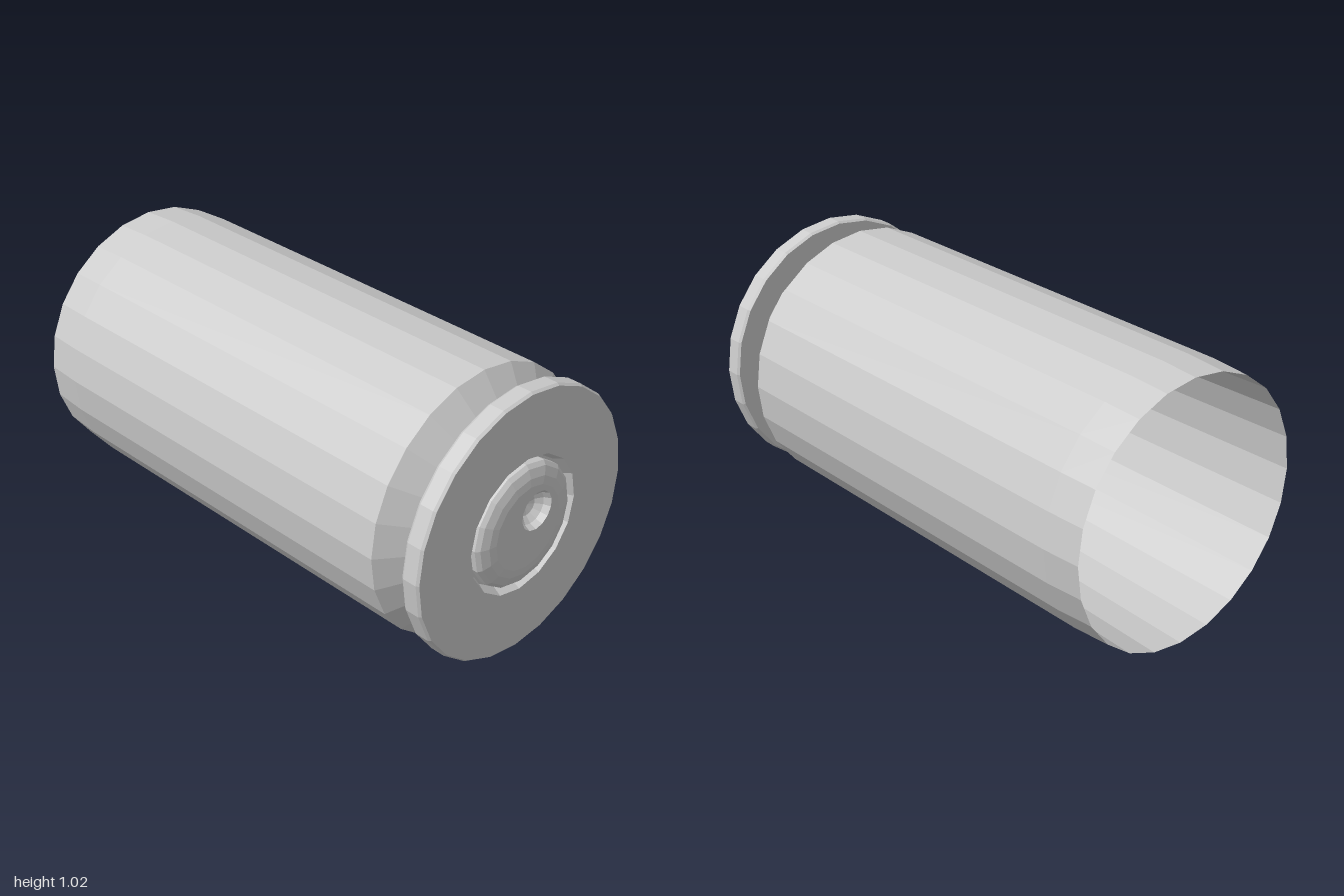
import * as THREE from 'three';

const CENTRE_Y = 0.515;
const SIDES = 24, PRIMER_SIDES = 16;

export function createModel() {
  const model = new THREE.Group();
  const material = new THREE.MeshStandardMaterial({ color: 0xcccccc, flatShading: true, side: THREE.DoubleSide });

  function add(name, geometry, x = 0, y = CENTRE_Y, z = 0) {
    const mesh = new THREE.Mesh(geometry, material);
    mesh.name = name;
    mesh.position.set(x, y, z);
    model.add(mesh);
  }

  // Profile of [radius, z] pairs turned about the z axis
  function turned(profile, sides) {
    const points = profile.map(([r, z]) => new THREE.Vector2(r, z));
    return new THREE.LatheGeometry(points, sides).rotateX(Math.PI / 2);
  }

  // Corner points that line up with a turned part of the same side count
  function ring(radius, sides, x = 0, y = 0) {
    return Array.from({ length: sides }, (_, i) => {
      const a = i / sides * Math.PI * 2;
      return new THREE.Vector2(x + radius * Math.sin(a), y - radius * Math.cos(a));
    });
  }

  // Flat disc with a round opening, facing +z
  function plate(outer, opening) {
    const shape = new THREE.Shape(outer);
    shape.holes.push(new THREE.Path(opening));
    return new THREE.ShapeGeometry(shape);
  }

  // Outer wall, shoulder and extractor groove
  add('caseWall', turned([
    [0.503, -1], [0.512, -0.85], [0.512, 0.77], [0.405, 0.845], [0.405, 0.905],
  ], SIDES));

  // Hollow inside with a closed floor, meeting the wall at the thin mouth
  add('caseInterior', turned([[0, 0.74], [0.4, 0.74], [0.46, 0.65], [0.503, -1]], SIDES));

  // Rim behind the groove
  add('rim', turned([
    [0.405, 0.905], [0.505, 0.905], [0.512, 0.915], [0.512, 0.97], [0.505, 0.98],
  ], SIDES));

  // Head face around the primer pocket
  add('headFace', plate(ring(0.505, SIDES), ring(0.262, PRIMER_SIDES)), 0, CENTRE_Y, 0.98);
  add('primerPocket', turned([[0.262, 0.98], [0.245, 0.945], [0.225, 0.945]], PRIMER_SIDES));

  // Primer cup with rounded edge
  add('primerEdge', turned([
    [0.236, 0.945], [0.236, 0.972], [0.222, 0.985], [0.19, 0.996], [0.16, 1],
  ], PRIMER_SIDES));

  // Primer face with the off-centre firing dent
  const dentX = 0.04, dentY = 0.05, dentRadius = 0.075, dentSides = 14;
  add('primerFace', plate(ring(0.16, PRIMER_SIDES), ring(dentRadius, dentSides, dentX, dentY)), 0, CENTRE_Y, 1);
  add('firingDent', turned([
    [dentRadius, 0], [0.064, -0.025], [0.04, -0.045], [0, -0.054],
  ], dentSides), dentX, CENTRE_Y + dentY, 1);

  return model;
}
